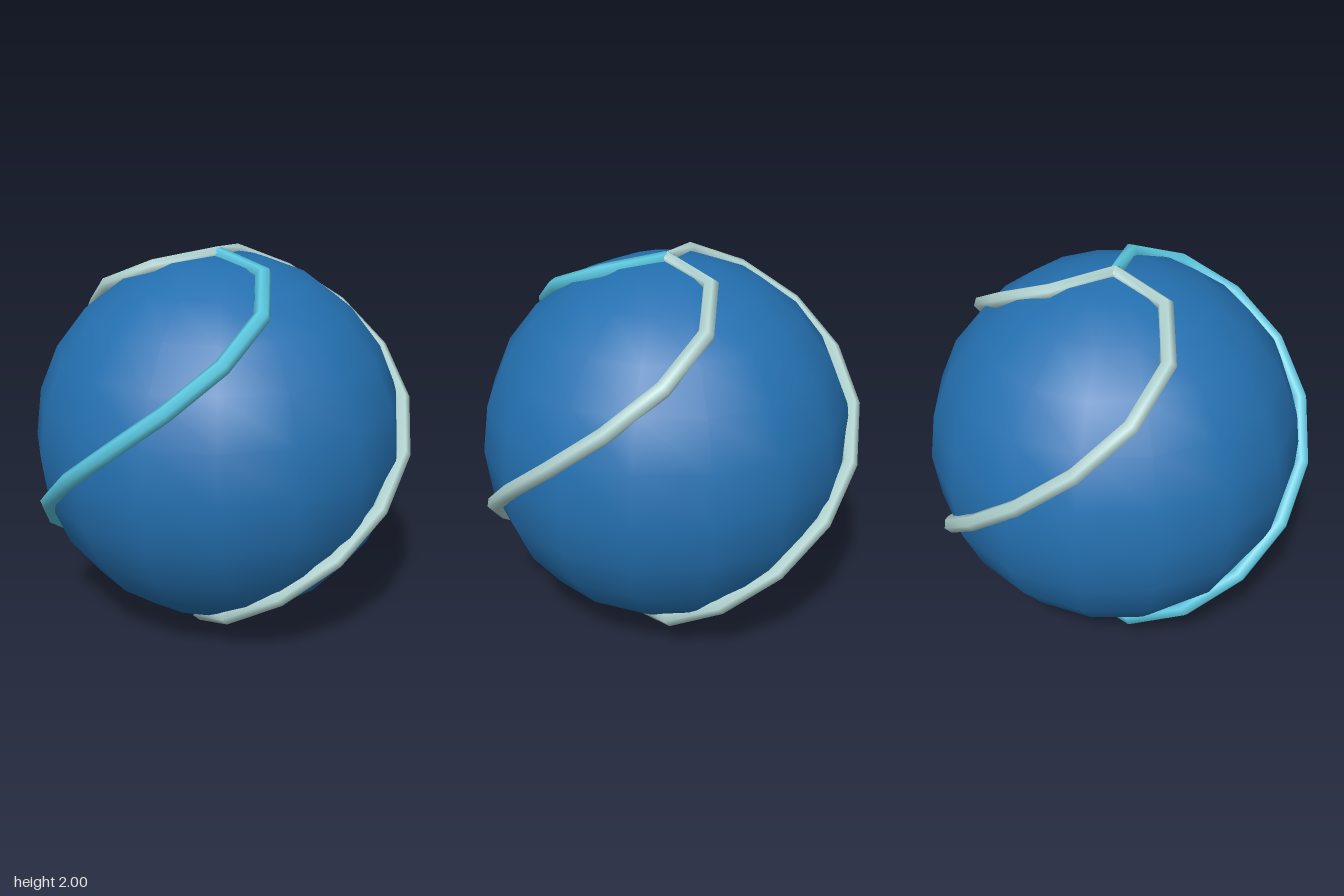
import * as THREE from 'three';

const BALL_RADIUS = 0.963;
const TUBE_RADIUS = 0.042;

// Spiral from the top pole to the bottom pole, hugging the ball
class PoleSpiral extends THREE.Curve {
  constructor(startAngle) {
    super();
    this.startAngle = startAngle;
  }
  getPoint(t, target = new THREE.Vector3()) {
    const theta = t * Math.PI;
    const phi = this.startAngle + t * THREE.MathUtils.degToRad(230);
    const r = 0.957 + 0.021 * Math.sin(theta);
    return target.set(
      r * Math.sin(theta) * Math.cos(phi),
      r * Math.cos(theta),
      r * Math.sin(theta) * Math.sin(phi)
    );
  }
}

export function createModel() {
  const blue = new THREE.MeshStandardMaterial({ color: 0x2470b0 });
  blue.name = 'deep blue';
  const cyan = new THREE.MeshStandardMaterial({ color: 0x5ac6de, side: THREE.DoubleSide });
  cyan.name = 'light cyan';
  const pale = new THREE.MeshStandardMaterial({ color: 0xb2d4d1, side: THREE.DoubleSide });
  pale.name = 'pale grey green';

  const model = new THREE.Group();
  model.name = 'spiralBall';

  // Ball
  const ball = new THREE.Mesh(new THREE.SphereGeometry(BALL_RADIUS, 16, 12), blue);
  ball.name = 'ball';
  model.add(ball);

  // Three raised spiral bands, a third of a turn apart
  [cyan, pale, pale].forEach((material, i) => {
    const path = new PoleSpiral(THREE.MathUtils.degToRad(0.5 + i * 120));
    const band = new THREE.Mesh(new THREE.TubeGeometry(path, 12, TUBE_RADIUS, 6, false), material);
    band.name = `spiralBand${i + 1}`;
    model.add(band);
  });

  model.position.set(-0.035, 1, -0.01);
  const root = new THREE.Group();
  root.name = 'model';
  root.add(model);
  return root;
}
